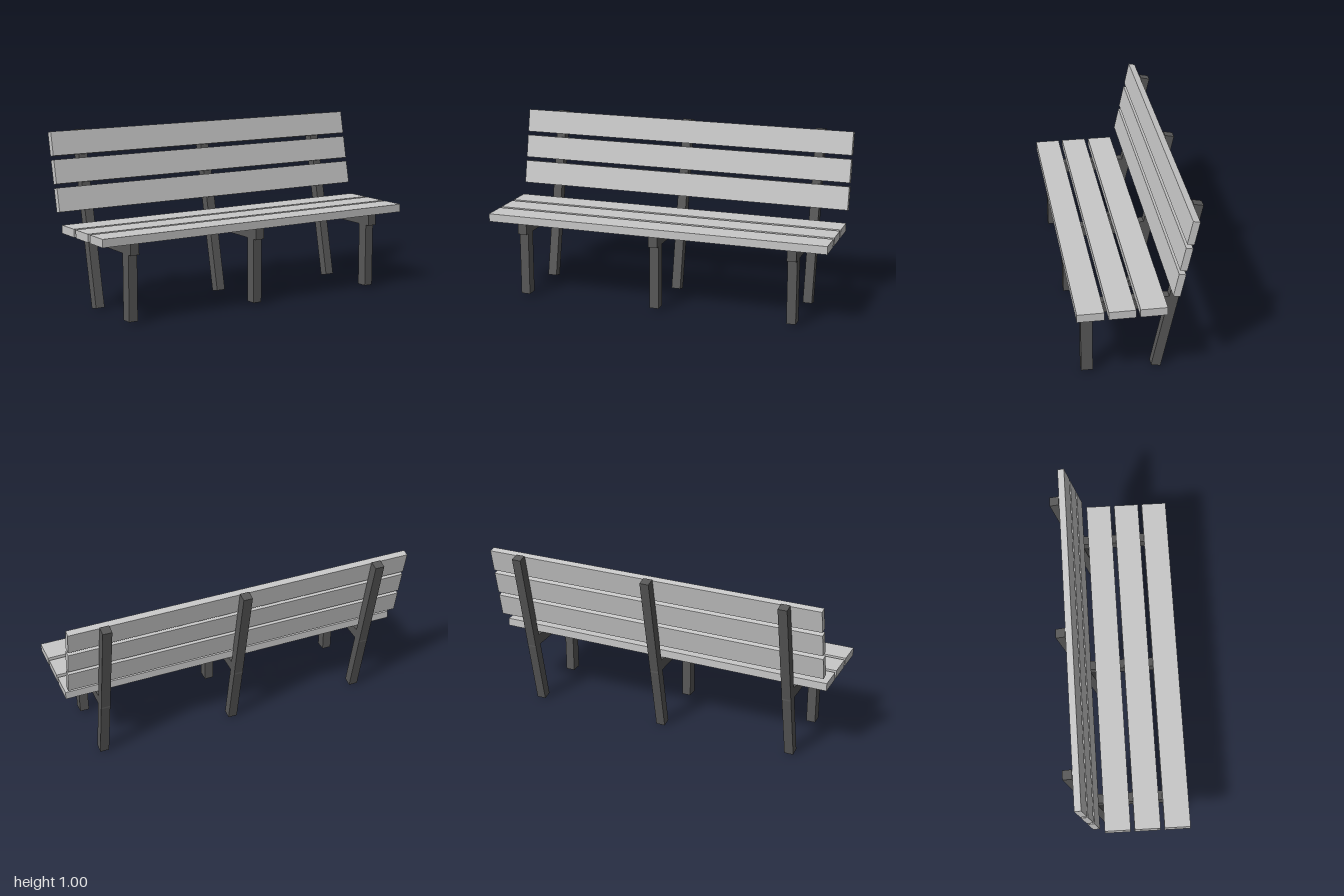
import * as THREE from 'three';

export function createModel() {
  const bench = new THREE.Group();
  bench.name = 'bench';

  const slatGrey = new THREE.MeshStandardMaterial({ color: 0xc8c8c8 });
  slatGrey.name = 'light grey slats';
  const frameGrey = new THREE.MeshStandardMaterial({ color: 0x585858 });
  frameGrey.name = 'dark grey frame';

  const addBox = (parent, name, material, size, position) => {
    const mesh = new THREE.Mesh(new THREE.BoxGeometry(...size), material);
    mesh.name = name;
    mesh.position.set(...position);
    parent.add(mesh);
    return mesh;
  };

  // Leaning back assembly: local y runs along the posts
  const back = new THREE.Group();
  back.name = 'backrest';
  back.position.set(0, 0.5015, -0.2115);
  back.rotation.x = -0.209;
  bench.add(back);

  // Three supports: front leg, seat rail and a rear post
  const bar = 0.053;
  for (const x of [-0.8, 0, 0.8]) {
    addBox(bench, 'frontLeg', frameGrey, [bar, 0.368, 0.064], [x, 0.202, 0.272]);
    addBox(bench, 'seatRail', frameGrey, [bar, 0.065, 0.544], [x, 0.4185, 0.056]);
    addBox(back, 'rearPost', frameGrey, [bar, 1.009, bar], [x, 0, 0]);
  }

  // Seat and backrest slats
  for (let i = 0; i < 3; i++) {
    addBox(bench, 'seatSlat', slatGrey, [2, 0.046, 0.144], [0, 0.474, 0.273 - i * 0.167]);
    addBox(back, 'backSlat', slatGrey, [2, 0.134, 0.038], [0, 0.118 + i * 0.156, 0.0455]);
  }
  return bench;
}
